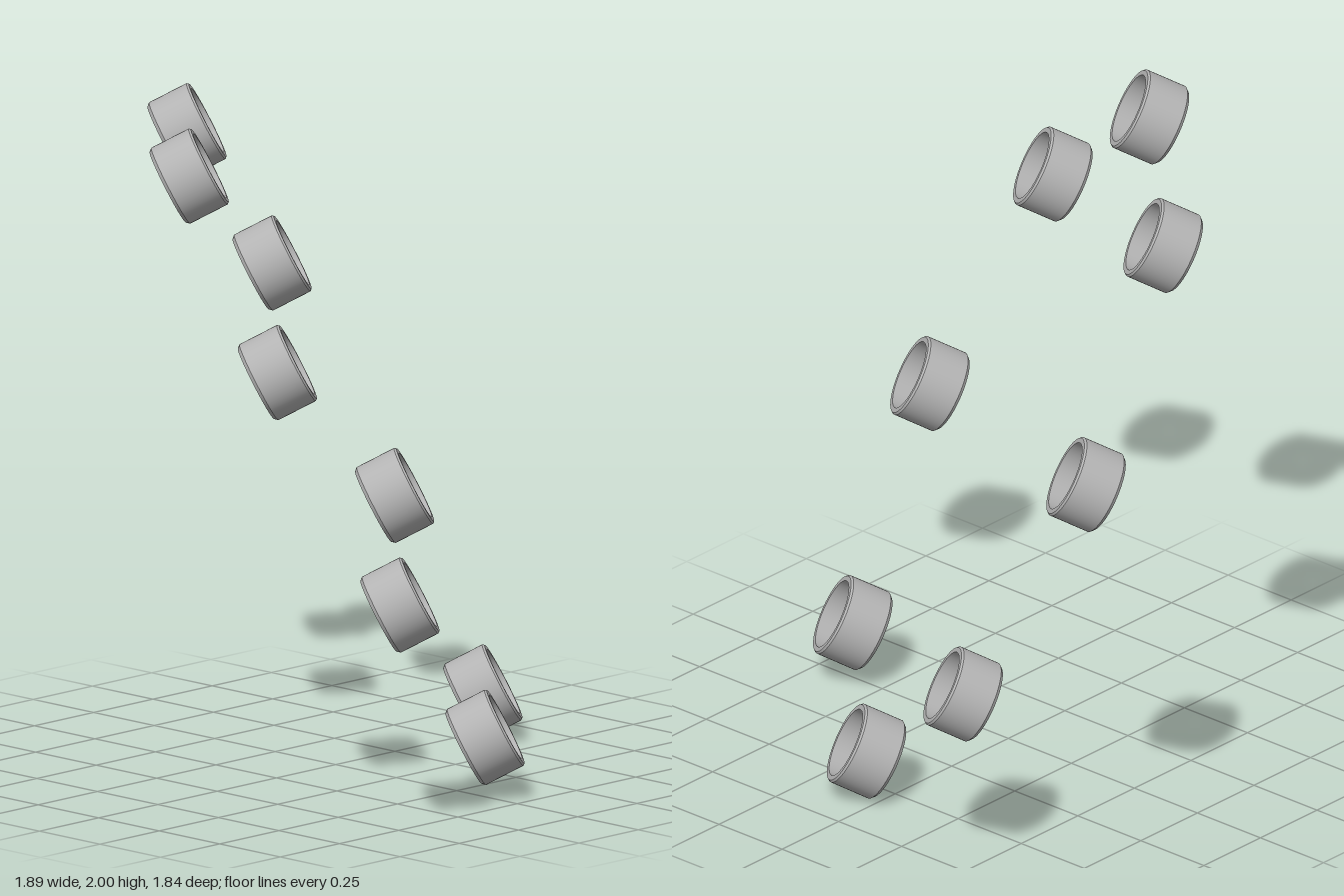
import * as THREE from 'three';
import { mergeGeometries } from 'three/addons/utils/BufferGeometryUtils.js';

const COUNT = 8;
const CIRCLE_RADIUS = 1.026;

// Hollow sleeve about y; each profile edge is its own lathe so the corners stay sharp
function sleeveGeometry() {
  const profile = [
    [0.117, -0.07], [0.126, -0.06],   // bevel at the lower end
    [0.126, 0.064], [0.121, 0.07],    // outer wall, small bevel at the upper end
    [0.106, 0.07], [0.106, -0.07],    // bore
  ].map(([r, y]) => new THREE.Vector2(r, y));
  return mergeGeometries(profile.map((p, i) =>
    new THREE.LatheGeometry([p, profile[(i + 1) % profile.length]], 64)));
}

export function createModel() {
  const model = new THREE.Group();
  model.name = 'sleeveCircle';

  const grey = new THREE.MeshStandardMaterial({ color: 0xb4b4b4 });
  grey.name = 'grey';

  // Tilted plane that carries the circle; its normal is the sleeves' axis
  const along = new THREE.Vector3(-0.6, 0.8, 0);
  const axis = new THREE.Vector3(0.613, 0.46, -0.643).normalize();
  const across = new THREE.Vector3().crossVectors(along, axis);

  const circle = new THREE.Group();
  circle.name = 'tiltedCircle';
  circle.quaternion.setFromRotationMatrix(new THREE.Matrix4().makeBasis(along, axis, across));
  circle.position.y = 1;
  model.add(circle);

  // Equal sleeves evenly spaced around the circle
  const geometry = sleeveGeometry();
  for (let i = 0; i < COUNT; i++) {
    const a = (i / COUNT) * Math.PI * 2;
    const sleeve = new THREE.Mesh(geometry, grey);
    sleeve.name = `sleeve${i + 1}`;
    sleeve.position.set(Math.cos(a) * CIRCLE_RADIUS, 0, Math.sin(a) * CIRCLE_RADIUS);
    circle.add(sleeve);
  }
  return model;
}
